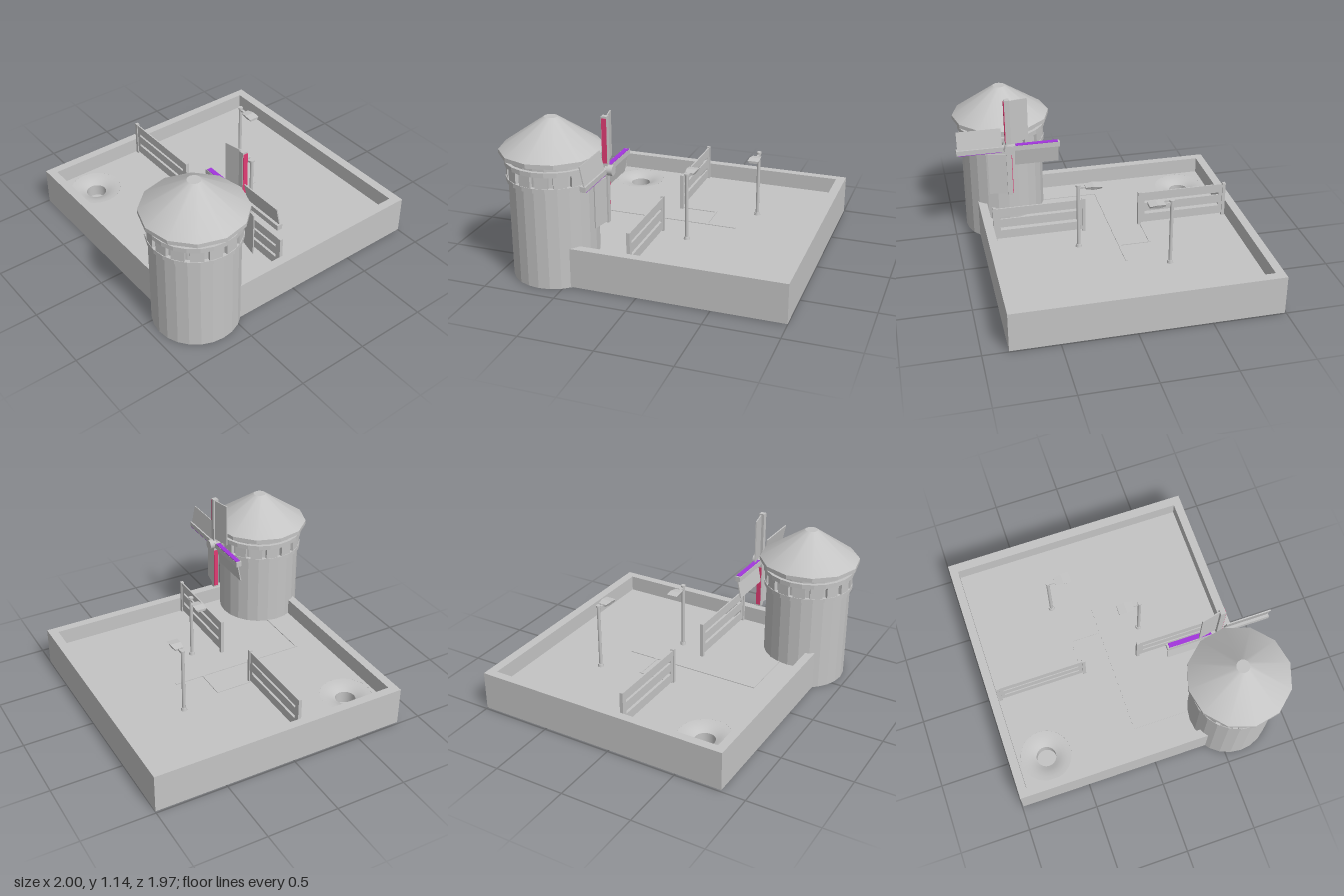
import * as THREE from 'three';

const mat = (name, color, extra = {}) => {
  const m = new THREE.MeshStandardMaterial({ color, ...extra });
  m.name = name;
  return m;
};

export function createModel() {
  const root = new THREE.Group();
  root.name = 'windmillCourse';
  const grey = mat('stone grey', 0xc4c4c4);
  const faceted = mat('faceted stone grey', 0xc4c4c4, { flatShading: true });
  const pink = mat('sail pink', 0xe03c74);
  const purple = mat('sail purple', 0xa236dc);

  const add = (parent, name, geo, x = 0, y = 0, z = 0, m = grey) => {
    const mesh = new THREE.Mesh(geo, m);
    mesh.name = name;
    mesh.position.set(x, y, z);
    parent.add(mesh);
    return mesh;
  };
  // Box given by its limits
  const box = (parent, name, x0, x1, y0, y1, z0, z1, m = grey) =>
    add(parent, name, new THREE.BoxGeometry(x1 - x0, y1 - y0, z1 - z0),
      (x0 + x1) / 2, (y0 + y1) / 2, (z0 + z1) / 2, m);
  const group = (name, x = 0, y = 0, z = 0, parent = root) => {
    const g = new THREE.Group();
    g.name = name;
    g.position.set(x, y, z);
    parent.add(g);
    return g;
  };
  // Rectangle in plan; shape y is -z
  const rect = (C, x0, x1, z0, z1) => {
    const s = new C();
    s.moveTo(x0, -z1);
    s.lineTo(x1, -z1);
    s.lineTo(x1, -z0);
    s.lineTo(x0, -z0);
    s.closePath();
    return s;
  };
  const slab = (shape, depth) =>
    new THREE.ExtrudeGeometry(shape, { depth, bevelEnabled: false, curveSegments: 32 }).rotateX(-Math.PI / 2);

  // Perimeter wall
  const FLOOR = 0.165;
  const wall = rect(THREE.Shape, -0.83, 1, -0.99, 0.83);
  wall.holes.push(rect(THREE.Path, -0.77, 0.935, -0.93, 0.77));
  add(root, 'perimeterWall', slab(wall, 0.275), 0, 0.005, 0);

  // Floor, with a dished cup at the far corner
  const cup = { x: -0.57, z: -0.73, r: 0.18 };
  const floor = rect(THREE.Shape, -0.77, 0.935, -0.93, 0.77);
  const opening = new THREE.Path();
  opening.absarc(cup.x, -cup.z, cup.r, 0, Math.PI * 2, true);
  floor.holes.push(opening);
  add(root, 'floor', slab(floor, FLOOR - 0.01), 0, 0.01, 0);
  box(root, 'floorUnderside', -0.77, 0.935, 0, 0.01, -0.93, 0.77);
  const dish = [[cup.r, 0], [0.15, -0.003], [0.12, -0.01], [0.095, -0.02], [0.07, -0.033]];
  add(root, 'cupDish', new THREE.LatheGeometry(dish.map(([r, y]) => new THREE.Vector2(r, y)), 32), cup.x, FLOOR, cup.z);
  const shaft = [[0.07, -0.033], [0.07, -0.12]];
  add(root, 'cupShaft', new THREE.LatheGeometry(shaft.map(([r, y]) => new THREE.Vector2(r, y)), 32), cup.x, FLOOR, cup.z);
  add(root, 'cupBottom', new THREE.CircleGeometry(0.07, 32).rotateX(-Math.PI / 2), cup.x, FLOOR - 0.12, cup.z);

  // Thin guide ridges on the floor
  const ridge = (x0, x1, z0, z1) => box(root, 'floorRidge', x0, x1, FLOOR - 0.003, FLOOR + 0.005, z0, z1);
  ridge(-0.59, 0.4, -0.08, -0.065);
  ridge(-0.59, -0.575, -0.065, 0.4);
  ridge(0.18, 0.195, -0.3, -0.08);
  ridge(-0.07, 0.18, -0.3, -0.285);

  // Fences: end posts and three boards
  for (const [z0, z1] of [[0.115, 0.77], [-0.925, -0.27]]) {
    const fence = group('fence');
    for (const z of [z0, z1 - 0.023])
      box(fence, 'fencePost', -0.082, -0.058, FLOOR, 0.425, z, z + 0.023);
    for (const y of [0.18, 0.268, 0.352])
      box(fence, 'fenceBoard', -0.075, -0.065, y, y + 0.065, z0 + 0.02, z1 - 0.02);
    for (const z of [z0 + 0.02, z1 - 0.05])
      box(fence, 'fenceBatten', -0.075, -0.065, 0.18, 0.41, z, z + 0.03);
  }

  // Lamp posts
  for (const [x, z, turn] of [[0.133, 0.205, Math.PI], [0.48, -0.355, 0]]) {
    const lamp = group('lampPost', x, 0, z);
    lamp.rotation.y = turn;
    add(lamp, 'lampFoot', new THREE.CylinderGeometry(0.018, 0.022, 0.02, 16), 0, FLOOR + 0.01, 0);
    add(lamp, 'lampPole', new THREE.CylinderGeometry(0.012, 0.012, 0.48, 16), 0, FLOOR + 0.24, 0);
    add(lamp, 'lampCap', new THREE.CylinderGeometry(0.017, 0.017, 0.012, 16), 0, 0.641, 0);
    box(lamp, 'lampArm', -0.007, 0.007, 0.617, 0.63, 0, 0.06);
    // Head widens away from the pole, thin at both ends
    const head = new THREE.BoxGeometry(0.078, 0.03, 0.11, 1, 1, 2);
    const p = head.attributes.position;
    for (let i = 0; i < p.count; i++) {
      const end = Math.abs(p.getZ(i)) > 0.01;
      if (p.getZ(i) < -0.01) p.setX(i, p.getX(i) * 0.78);
      if (p.getY(i) < 0) p.setX(i, p.getX(i) * 0.7);
      if (end) p.setY(i, p.getY(i) * 0.55);
    }
    add(lamp, 'lampHead', head, 0, 0.625, 0.105, faceted);
  }

  // Tower body, gallery rings and neck
  const tower = group('tower', -0.652, 0, 0.613);
  const drum = (name, r, y0, y1) =>
    add(tower, name, new THREE.CylinderGeometry(r, r, y1 - y0, 24), 0, (y0 + y1) / 2, 0, faceted);
  drum('towerBody', 0.294, 0, 0.68);
  drum('lowerRing', 0.31, 0.68, 0.71);
  drum('galleryBand', 0.285, 0.71, 0.79);
  drum('upperRing', 0.316, 0.79, 0.822);
  drum('towerNeck', 0.292, 0.822, 0.865);

  // Panels around the gallery
  for (let i = 0; i < 16; i++) {
    const a = (i + 0.5) / 16 * Math.PI * 2;
    const panel = add(tower, 'galleryPanel', new THREE.BoxGeometry(0.085, 0.084, 0.025),
      Math.sin(a) * 0.291, 0.75, Math.cos(a) * 0.291);
    panel.rotation.y = a;
  }

  // Twelve-sided roof
  const roof = group('roof', 0, 0, 0, tower);
  roof.rotation.y = -0.06;
  add(roof, 'roofEave', new THREE.CylinderGeometry(0.348, 0.348, 0.028, 12), 0, 0.872, 0, faceted);
  add(roof, 'roofCone', new THREE.CylinderGeometry(0.045, 0.348, 0.209, 12), 0, 0.9905, 0);

  // Sail wheel on its axle, turning about x
  const wheel = group('sailWheel', -0.278, 0.775, 0.613);
  add(wheel, 'axle', new THREE.CylinderGeometry(0.022, 0.022, 0.14, 16).rotateZ(Math.PI / 2), -0.06, 0, 0);
  add(wheel, 'hub', new THREE.CylinderGeometry(0.036, 0.036, 0.05, 16).rotateZ(Math.PI / 2), 0.029, 0, 0);
  add(wheel, 'hubCollar', new THREE.CylinderGeometry(0.034, 0.034, 0.05, 16).rotateZ(Math.PI / 2), -0.06, 0, 0);
  for (let i = 0; i < 4; i++) {
    const arm = group('sailArm', 0, 0, 0, wheel);
    arm.rotation.x = i * Math.PI / 2;
    box(arm, 'spar', -0.018, 0.02, 0, 0.363, -0.018, 0.018);
    box(arm, 'sparStripe', -0.014, 0.019, 0.05, 0.35, 0.018, 0.022, i % 2 ? purple : pink);
    // Sail leans back from the spar
    const sail = add(arm, 'sail', new THREE.BoxGeometry(0.008, 0.31, 0.135).translate(0, 0, -0.0675), 0.006, 0.2, -0.012);
    sail.rotation.y = 0.2;
  }
  return root;
}
